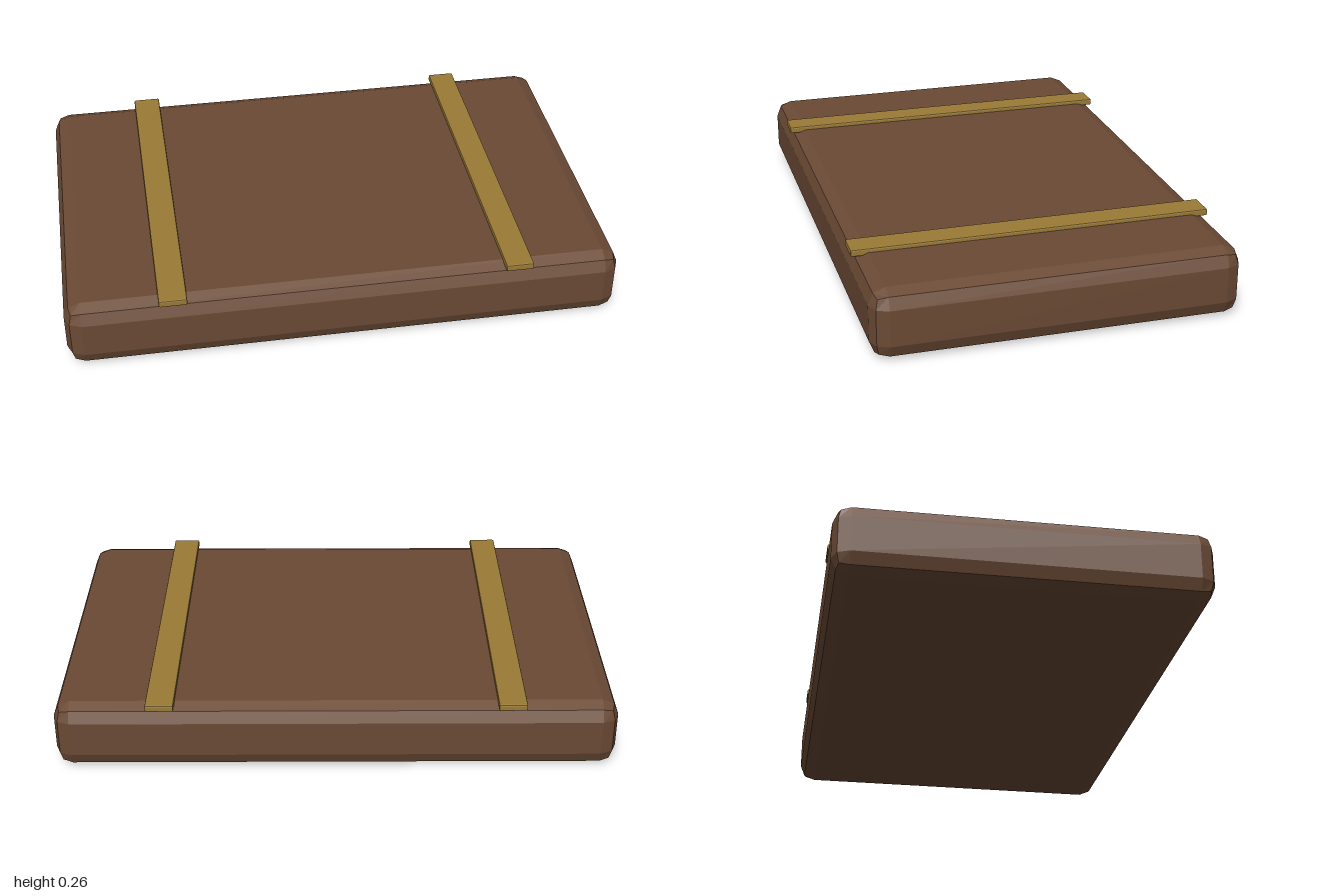
import * as THREE from 'three';
import { RoundedBoxGeometry } from 'three/addons/geometries/RoundedBoxGeometry.js';

export function createModel() {
  const model = new THREE.Group();
  model.name = 'strappedCase';

  const leather = new THREE.MeshStandardMaterial({ color: 0x6b4a35, flatShading: true });
  const brass = new THREE.MeshStandardMaterial({ color: 0x9b7a35, flatShading: true });

  function addBlock(name, size, position, radius, material) {
    const mesh = new THREE.Mesh(new RoundedBoxGeometry(...size, 1, radius), material);
    mesh.name = name;
    mesh.position.set(...position);
    model.add(mesh);
  }

  // Flat case with coarsely rounded edges
  addBlock('caseBody', [2, 0.25, 1.3], [0, 0.125, 0], 0.06, leather);

  // Two straps running front to back, sunk slightly into the lid
  for (const [name, side] of [['leftStrap', 1], ['rightStrap', -1]]) {
    addBlock(name, [0.1, 0.025, 1.3], [side * 0.62, 0.2525, 0], 0.005, brass);
  }

  return model;
}
